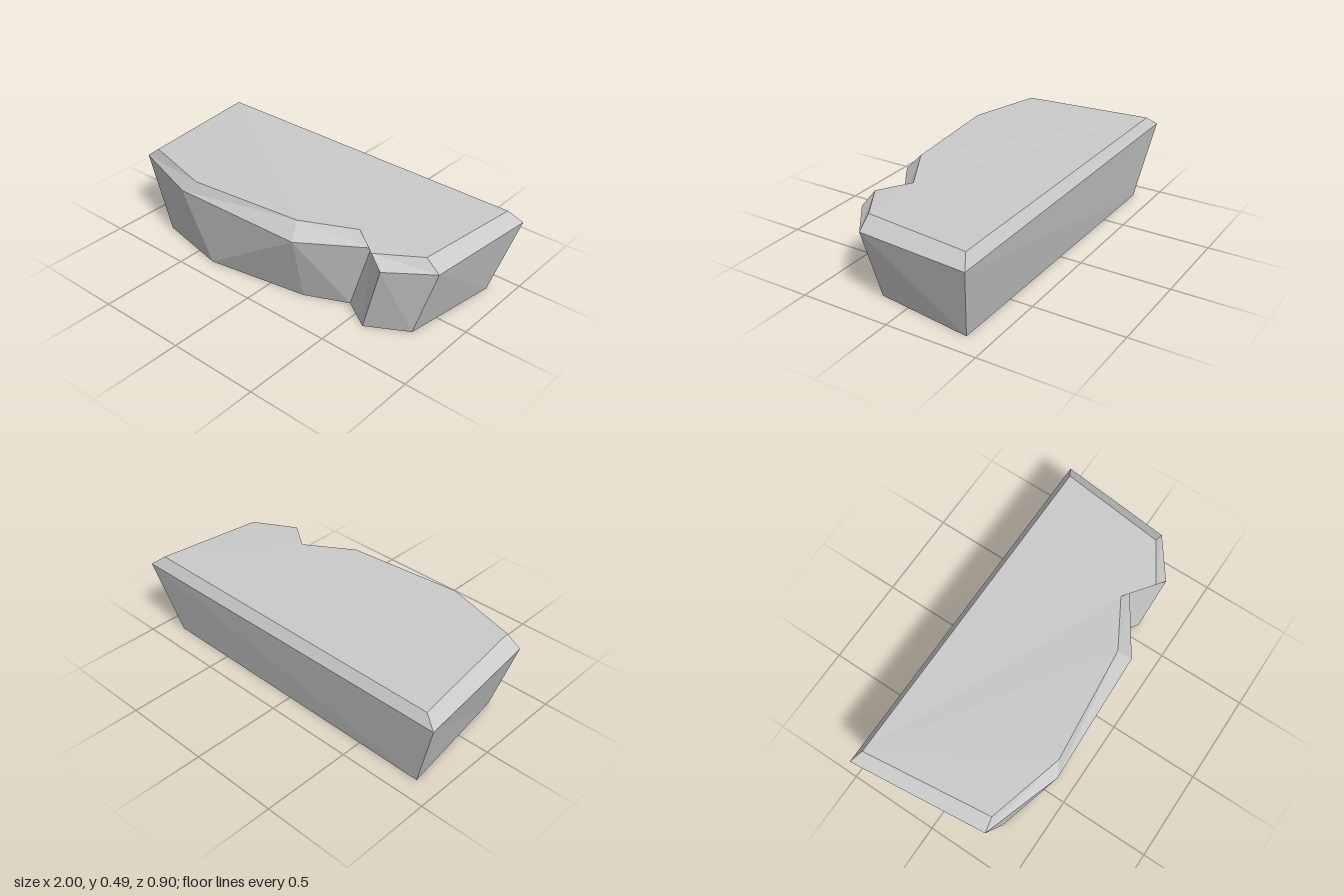
import * as THREE from 'three';

// Three matching outlines [x, y, z], counter-clockwise from the front right corner
const base = [
  [-0.78, 0, 0.3], [-0.37, 0, 0.387], [0.2, 0, 0.292], [0.425, 0, 0.19],
  [0.587, 0, 0.294], [0.8, 0, 0.172], [0.88, 0, -0.372], [-0.873, 0, -0.386],
];
const rim = [
  [-0.92, 0.425, 0.31], [-0.5, 0.425, 0.45], [0.24, 0.41, 0.422], [0.56, 0.41, 0.21],
  [0.715, 0.41, 0.341], [0.935, 0.41, 0.18], [1, 0.42, -0.45], [-1, 0.425, -0.45],
];
const crown = [
  [-0.845, 0.485, 0.3], [-0.43, 0.488, 0.413], [0.21, 0.49, 0.35], [0.48, 0.477, 0.2],
  [0.64, 0.47, 0.315], [0.86, 0.475, 0.18], [0.93, 0.478, -0.41], [-0.93, 0.478, -0.415],
];

// Triangles that fill an outline, turning around the notch corner (3)
const capFaces = [[7, 0, 1], [7, 1, 2], [7, 2, 3], [7, 3, 6], [3, 4, 5], [3, 5, 6]];

function geometryFrom(points) {
  const geometry = new THREE.BufferGeometry();
  geometry.setAttribute('position', new THREE.Float32BufferAttribute(points.flat(), 3));
  geometry.computeVertexNormals();
  return geometry;
}

// Band of faces joining a lower outline to an upper one
function band(lower, upper) {
  const points = [];
  for (let i = 0; i < lower.length; i++) {
    const j = (i + 1) % lower.length;
    if (i < 2) points.push(lower[i], lower[j], upper[j], lower[i], upper[j], upper[i]);
    else points.push(lower[i], lower[j], upper[i], lower[j], upper[j], upper[i]);
  }
  return geometryFrom(points);
}

function cap(outline, facesDown) {
  const points = [];
  for (const [a, b, c] of capFaces) {
    points.push(outline[a], outline[facesDown ? c : b], outline[facesDown ? b : c]);
  }
  return geometryFrom(points);
}

export function createModel() {
  const group = new THREE.Group();
  group.name = 'rockLedge';
  const stone = new THREE.MeshStandardMaterial({ color: 0xcacaca, flatShading: true });
  stone.name = 'stone grey';

  const add = (name, geometry) => {
    const mesh = new THREE.Mesh(geometry, stone);
    mesh.name = name;
    group.add(mesh);
  };

  add('underside', cap(base, true));
  add('slopingWalls', band(base, rim)); // walls widen towards the rim
  add('bevelledEdge', band(rim, crown));
  add('topSurface', cap(crown, false));
  return group;
}
